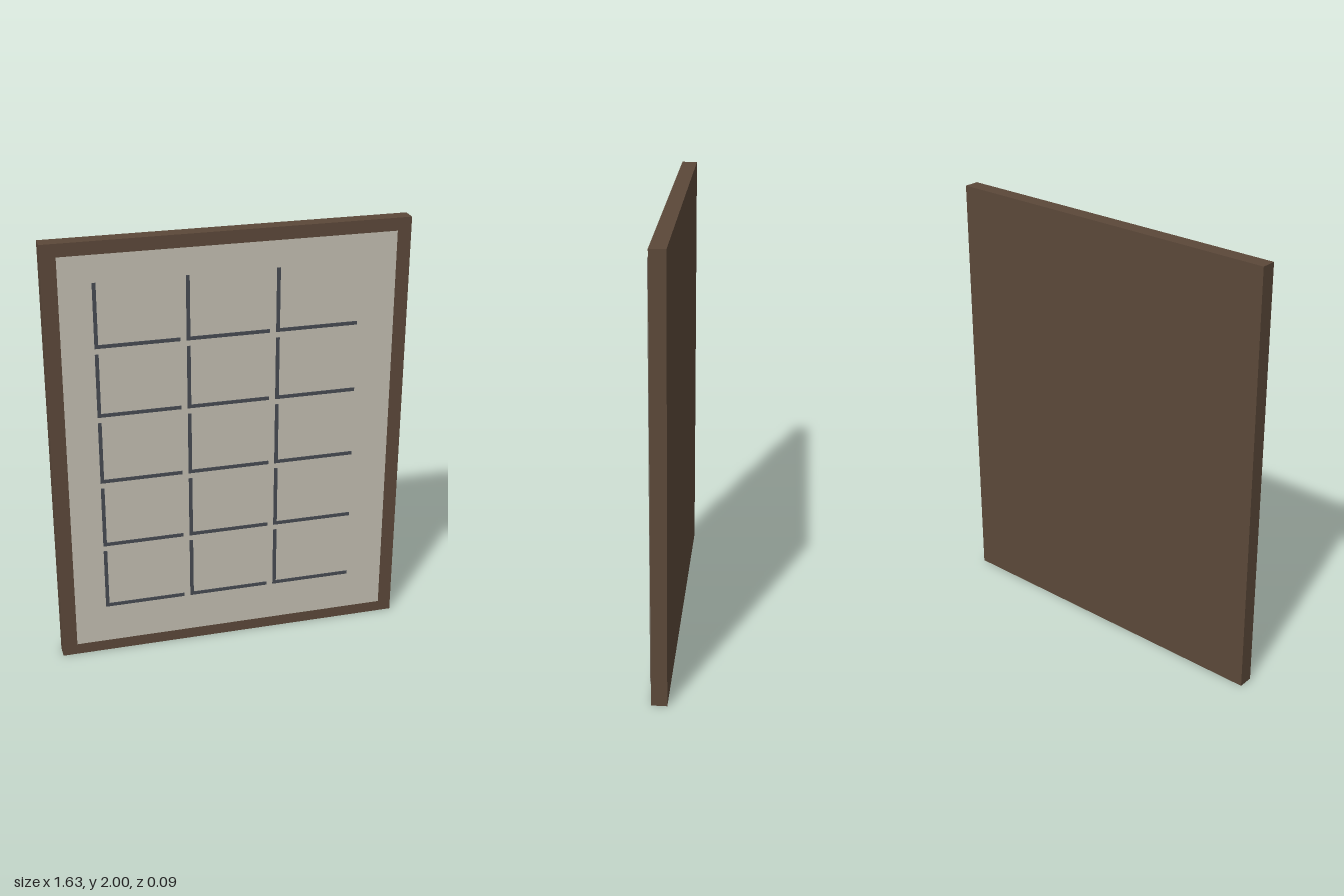
import * as THREE from 'three';

const material = (name, color) => {
  const m = new THREE.MeshStandardMaterial({ color });
  m.name = name;
  return m;
};

export function createModel() {
  const group = new THREE.Group();
  group.name = 'wallBoard';
  const wood = material('dark brown wood', 0x5b4839);
  const paper = material('pale grey paper', 0xc2bdb0);
  const ink = material('slate grey', 0x464a52);

  const add = (name, geometry, mat, x, y, z) => {
    const mesh = new THREE.Mesh(geometry, mat);
    mesh.name = name;
    mesh.position.set(x, y, z);
    group.add(mesh);
  };

  // Solid backing board
  add('backingBoard', new THREE.BoxGeometry(1.628, 2, 0.07), wood, 0, 1, -0.011);

  // Thin sheet floating just in front of the board
  paper.side = THREE.DoubleSide;
  add('sheet', new THREE.PlaneGeometry(1.494, 1.886), paper, 0, 1.002, 0.034);

  // L-shaped cell marker: left edge and bottom edge, origin at its corner
  const w = 0.373, h = 0.294, t = 0.016;
  const corner = new THREE.Shape([
    [0, 0], [w, 0], [w, t], [t, t], [t, h], [0, h],
  ].map(([x, y]) => new THREE.Vector2(x, y)));
  const cell = new THREE.ExtrudeGeometry(corner, { depth: 0.004, bevelEnabled: false });

  // Grid of five rows by three columns
  for (let row = 0; row < 5; row++) {
    for (let col = 0; col < 3; col++) {
      add('cellMarker', cell, ink, -0.605 + col * 0.402, 0.25 + row * 0.3205, 0.042);
    }
  }
  return group;
}
